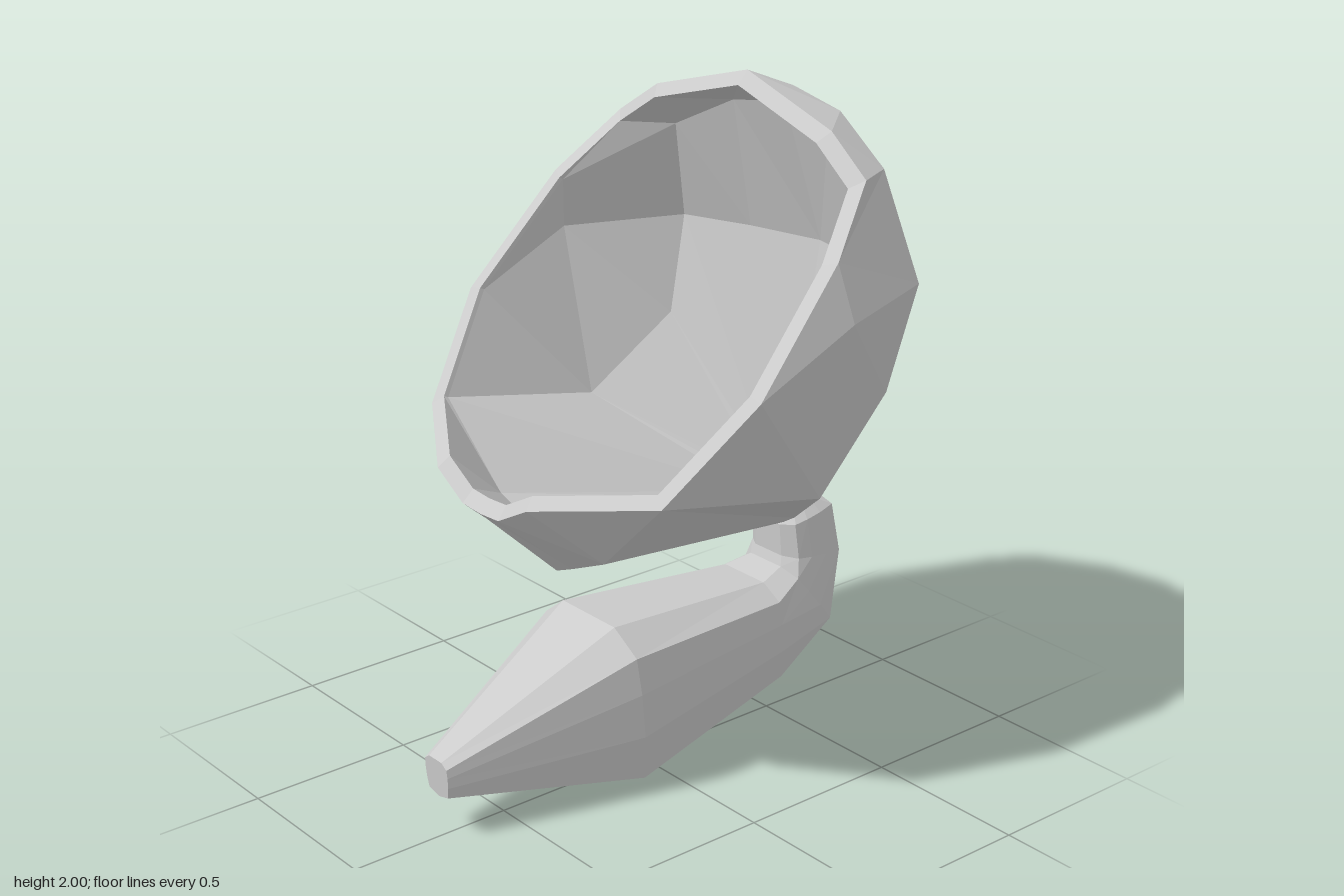
import * as THREE from 'three';

const V = (x, y, z) => new THREE.Vector3(x, y, z);
const material = new THREE.MeshStandardMaterial({ color: 0xcccccc, flatShading: true });

// Skins a list of closed loops (clockwise seen from the front, running backwards),
// splitting each quad along its shorter diagonal and dropping collapsed triangles.
function skin(name, rows) {
  const pos = [];
  const tri = (a, b, c) => {
    if (b.clone().sub(a).cross(c.clone().sub(a)).length() < 1e-7) return;
    for (const p of [a, b, c]) pos.push(p.x, p.y, p.z);
  };
  for (let i = 0; i < rows.length - 1; i++) {
    const n = rows[i].length;
    for (let j = 0; j < n; j++) {
      const k = (j + 1) % n;
      const a = rows[i][j], b = rows[i][k], c = rows[i + 1][k], d = rows[i + 1][j];
      if (a.distanceTo(c) < b.distanceTo(d)) { tri(a, b, c); tri(a, c, d); }
      else { tri(a, b, d); tri(b, c, d); }
    }
  }
  const geometry = new THREE.BufferGeometry();
  geometry.setAttribute('position', new THREE.Float32BufferAttribute(pos, 3));
  geometry.computeVertexNormals();
  const mesh = new THREE.Mesh(geometry, material);
  mesh.name = name;
  return mesh;
}

// A loop of equal points at the loop's centre, used to close an end.
function cap(row) {
  const c = row.reduce((s, p) => s.add(p), V(0, 0, 0)).divideScalar(row.length);
  return row.map(() => c);
}

// Hollow bowl: ribs from the rim to the neck, top centre round the left side to bottom centre.
function makeBowl() {
  const r2 = V(0.51, 1.8, -0.345), r3 = V(0.595, 1.63, -0.17);
  const r4 = V(0.628, 1.32, 0.12), r5 = V(0.51, 1.05, 0.35);
  const b0 = V(0, 1.465, -0.718), b1 = V(0.26, 1.465, -0.66), b2 = V(0.49, 1.465, -0.58);
  const u6 = V(0.26, 0.81, 0.34), u7 = V(0.09, 0.73, 0.314), u8 = V(0, 0.69, 0.3);
  const ribs = [
    [V(0, 2, -0.38), V(0, 1.93, -0.555), b0, b0],
    [V(0.36, 1.9, -0.36), V(0.21, 1.9, -0.535), b1, b1],
    [r2, V(0.43, 1.79, -0.49), b2, b2],
    [r3, r3, V(0.632, 1.465, -0.2), V(0.46, 1.16, -0.5)],
    [r4, r4, r4, V(0.51, 0.935, -0.21)],
    [r5, r5, r5, r5],
    [V(0.2, 1.0, 0.55), u6, u6, u6],
    [V(0.08, 0.935, 0.555), u7, u7, u7],
    [V(0, 0.93, 0.555), u8, u8, u8],
  ];
  // Small ring where the bowl meets the neck
  ribs.forEach((rib, i) => {
    const t = (i / 8) * Math.PI;
    rib.push(V(0.08 * Math.sin(t), 0.6625 + 0.0375 * Math.cos(t), -0.55 - 0.06 * Math.cos(t)));
  });
  // Mirror the ribs into full loops
  const outer = [0, 1, 2, 3, 4].map((r) => {
    const half = ribs.map((rib) => rib[r]);
    return [...half, ...half.slice(1, -1).reverse().map((p) => V(-p.x, p.y, p.z))];
  });
  // Inner wall: the same loops drawn slightly towards the middle
  const inner = outer.map((row, r) => {
    const middle = r === 0 ? V(0, 1.45, 0.1) : V(0, 1.35, -0.1);
    return row.map((p) => p.clone().lerp(middle, 0.07));
  });
  return skin('bowl', [cap(inner[4]), ...inner.slice().reverse(), ...outer, cap(outer[4])]);
}

// Handle: one faceted section swept from the front tip, back and up to the neck.
function makeHandle() {
  // Each station: top z, top y, bottom z, bottom y, half width
  const stations = [
    [0.727, 0.248, 0.718, 0.13, 0.052],
    [0.19, 0.525, 0.125, 0.005, 0.212],
    [-0.4, 0.48, -0.44, 0.145, 0.155],
    [-0.485, 0.5, -0.68, 0.27, 0.12],
    [-0.495, 0.53, -0.725, 0.5, 0.105],
    [-0.49, 0.63, -0.695, 0.66, 0.095],
    [-0.5, 0.645, -0.61, 0.7, 0.065],
  ];
  // Half section: width fraction, height fraction
  const half = [[0.55, 1], [0.97, 0.87], [1, 0.65], [0.97, 0.38], [0.85, 0.1], [0, 0]];
  const section = [...half, ...half.slice(0, -1).reverse().map(([u, v]) => [-u, v])];
  const rows = stations.map(([tz, ty, bz, by, w]) =>
    section.map(([u, v]) => V(u * w, by + (ty - by) * v, bz + (tz - bz) * v)));
  return skin('handle', [cap(rows[0]), ...rows, cap(rows[rows.length - 1])]);
}

export function createModel() {
  const model = new THREE.Group();
  model.name = 'scoop';
  model.add(makeBowl(), makeHandle());
  return model;
}
